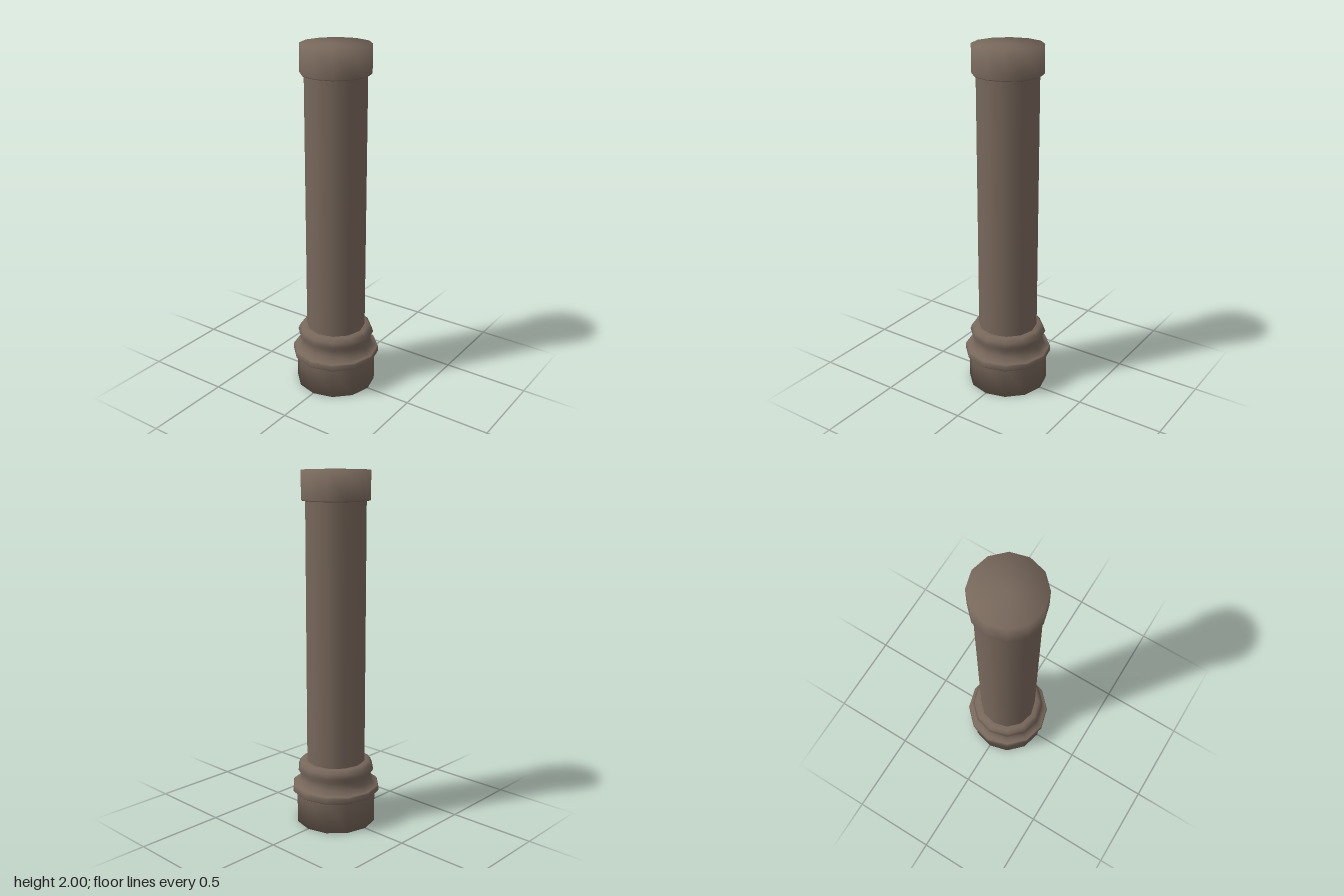
import * as THREE from 'three';

const SIDES = 12;

export function createModel() {
  const model = new THREE.Group();
  model.name = 'column';
  const stone = new THREE.MeshStandardMaterial({ color: 0x77675b });
  stone.name = 'brown stone';

  // Turned part from a [radius, height] profile, listed bottom to top
  const turn = (name, profile) => {
    const points = profile.map(([r, y]) => new THREE.Vector2(r, y));
    const mesh = new THREE.Mesh(new THREE.LatheGeometry(points, SIDES), stone);
    mesh.name = name;
    model.add(mesh);
  };

  // Drum at the foot, closed underneath
  turn('base', [[0, 0], [0.23, 0], [0.23, 0.187]]);

  // Projecting flange, flowing into a waisted collar with a rounded bead
  turn('baseMoulding', [
    [0.225, 0.183], [0.247, 0.183], [0.253, 0.19], [0.253, 0.215], [0.247, 0.223],
    [0.226, 0.225], [0.212, 0.255], [0.203, 0.288], [0.222, 0.318],
    [0.212, 0.345], [0.196, 0.364], [0.165, 0.365],
  ]);

  // Plain shaft
  turn('shaft', [[0.17, 0.33], [0.17, 1.86]]);

  // Capital with softly shaded flat top and underside
  turn('capital', [[0.165, 1.84], [0.187, 1.84], [0.193, 1.846], [0.193, 2], [0, 2]]);

  return model;
}
